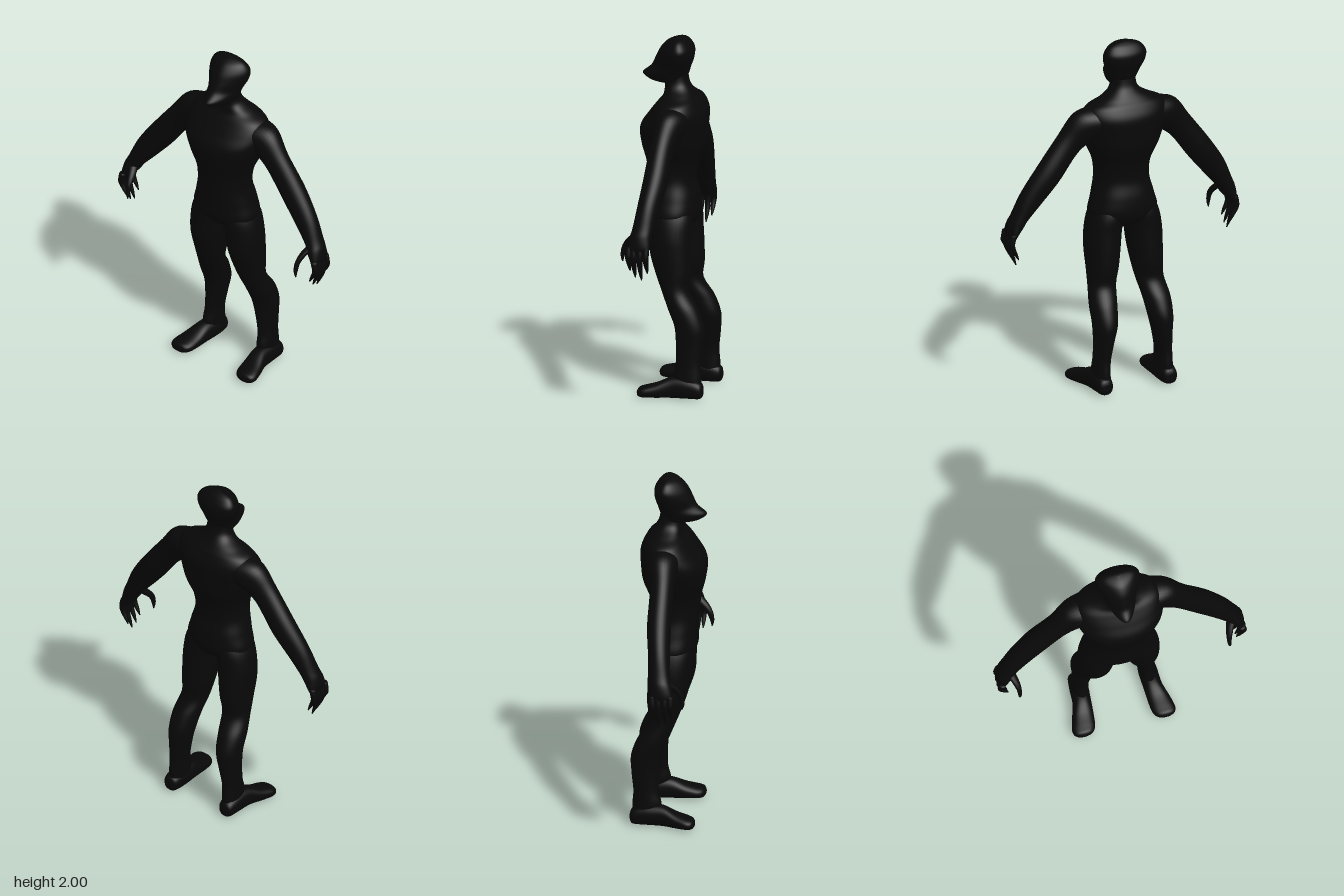
import * as THREE from 'three';

// Smooth loft through rows of [x, y, z, half width, half depth, tilt], listed from low to high.
// taper narrows the front (+z) of each section; square > 0 makes sections boxier.
function loft(rows, { sides = 32, steps = 6, taper = 0, square = 0 } = {}) {
  const n = rows.length - 1, total = n * steps;
  const cubic = (a, b, c, d, t) =>
    0.5 * (2 * b + (c - a) * t + (2 * a - 5 * b + 4 * c - d) * t * t + (3 * b - a - 3 * c + d) * t * t * t);
  const row = (i) => rows[Math.min(n, Math.max(0, i))];
  const pos = [], index = [];
  const soften = (v) => Math.sign(v) * Math.pow(Math.abs(v), 1 - square);
  for (let s = 0; s <= total; s++) {
    const i = Math.min(n - 1, Math.floor(s / steps)), t = s / steps - i;
    const [x, y, z, rx, rz, a] = [0, 1, 2, 3, 4, 5].map((k) =>
      cubic(row(i - 1)[k] ?? 0, row(i)[k] ?? 0, row(i + 1)[k] ?? 0, row(i + 2)[k] ?? 0, t));
    for (let j = 0; j < sides; j++) {
      const q = (j / sides) * Math.PI * 2;
      const u = Math.max(rx, 0.001) * soften(Math.cos(q)) * (1 - taper * Math.sin(q));
      pos.push(x + u * Math.cos(a), y + u * Math.sin(a), z + Math.max(rz, 0.001) * soften(Math.sin(q)));
      if (s < total) {
        const k = (j + 1) % sides, b = s * sides, c = b + sides;
        index.push(b + j, c + j, b + k, b + k, c + j, c + k);
      }
    }
  }
  // End caps
  for (const [r, base] of [[rows[0], 0], [rows[n], total * sides]]) {
    const centre = pos.length / 3;
    pos.push(r[0], r[1], r[2]);
    for (let j = 0; j < sides; j++) {
      const k = (j + 1) % sides;
      if (base) index.push(centre, base + k, base + j);
      else index.push(centre, base + j, base + k);
    }
  }
  const g = new THREE.BufferGeometry();
  g.setAttribute('position', new THREE.Float32BufferAttribute(pos, 3));
  g.setIndex(index);
  g.computeVertexNormals();
  return g;
}

// Mirror across x, keeping faces outward
function mirrored(g) {
  const m = g.clone().scale(-1, 1, 1);
  const ix = m.index.array;
  for (let i = 0; i < ix.length; i += 3) [ix[i], ix[i + 1]] = [ix[i + 1], ix[i]];
  m.computeVertexNormals();
  return m;
}

export function createModel() {
  const model = new THREE.Group();
  model.name = 'figure';
  const black = new THREE.MeshStandardMaterial({ color: 0x080808 });
  black.name = 'black';

  const add = (name, geometry) => {
    const mesh = new THREE.Mesh(geometry, black);
    mesh.name = name;
    model.add(mesh);
  };
  const addPair = (name, geometry) => {
    add(name + 'Left', geometry);
    add(name + 'Right', mirrored(geometry));
  };

  // Torso and neck
  add('torso', loft([
    [0, 0.91, 0.01, 0.03, 0.03],
    [0, 0.94, 0.01, 0.13, 0.09],
    [0, 1.0, 0.014, 0.198, 0.134],
    [0, 1.1, 0.018, 0.178, 0.137],
    [0, 1.2, 0.03, 0.155, 0.13],
    [0, 1.3, 0.028, 0.162, 0.142],
    [0, 1.4, 0.022, 0.205, 0.172],
    [0, 1.5, 0.02, 0.24, 0.18],
    [0, 1.58, -0.005, 0.25, 0.155],
    [0, 1.64, -0.015, 0.225, 0.118],
    [0, 1.675, -0.015, 0.155, 0.09],
    [0, 1.71, -0.005, 0.095, 0.075],
    [0, 1.75, 0.005, 0.072, 0.066],
    [0, 1.82, 0.01, 0.07, 0.06],
  ], { sides: 48, square: 0.1 }));

  // Head with a pointed, forward jutting jaw
  add('head', loft([
    [0, 1.738, 0.075, 0.035, 0.05],
    [0, 1.752, 0.065, 0.068, 0.1],
    [0, 1.785, 0.072, 0.079, 0.128],
    [0, 1.83, 0.04, 0.092, 0.11],
    [0, 1.88, 0.02, 0.113, 0.105],
    [0, 1.93, 0.007, 0.118, 0.093],
    [0, 1.97, 0.002, 0.095, 0.064],
    [0, 1.99, -0.003, 0.06, 0.035],
    [0, 2.0, -0.008, 0.01, 0.008],
  ], { sides: 48, taper: 0.35 }));

  // Legs
  addPair('leg', loft([
    [0.19, 0.05, -0.125, 0.043, 0.06],
    [0.19, 0.12, -0.105, 0.045, 0.08],
    [0.187, 0.2, -0.11, 0.045, 0.07],
    [0.178, 0.3, -0.115, 0.054, 0.076],
    [0.169, 0.4, -0.112, 0.069, 0.083],
    [0.162, 0.5, -0.075, 0.077, 0.085],
    [0.145, 0.6, -0.025, 0.08, 0.076],
    [0.135, 0.7, -0.01, 0.09, 0.1],
    [0.129, 0.8, 0.005, 0.099, 0.115],
    [0.122, 0.9, 0.01, 0.103, 0.117],
    [0.105, 1.0, 0.012, 0.098, 0.118],
    [0.085, 1.1, 0.015, 0.07, 0.09],
  ]));

  // Feet, lofted heel to toe and turned so the loft runs along z
  addPair('foot', loft([
    [0.197, -0.197, -0.05, 0.015, 0.02],
    [0.196, -0.18, -0.052, 0.042, 0.045],
    [0.195, -0.11, -0.062, 0.052, 0.058],
    [0.2, -0.02, -0.062, 0.052, 0.058],
    [0.215, 0.06, -0.046, 0.062, 0.042],
    [0.226, 0.12, -0.038, 0.065, 0.033],
    [0.23, 0.152, -0.035, 0.05, 0.026],
    [0.23, 0.165, -0.034, 0.02, 0.01],
  ], { square: 0.15 }).rotateX(Math.PI / 2));

  // Arms, from the palm up to the shoulder
  addPair('arm', loft([
    [0.676, 0.925, 0.037, 0.016, 0.05, 0.05],
    [0.67, 0.96, 0.037, 0.03, 0.064, 0.15],
    [0.648, 1.01, 0.033, 0.045, 0.062, 0.32],
    [0.625, 1.055, 0.025, 0.048, 0.058, 0.45],
    [0.558, 1.16, 0.013, 0.067, 0.06, 0.55],
    [0.46, 1.29, 0.0, 0.076, 0.066, 0.67],
    [0.337, 1.45, -0.003, 0.077, 0.066, 0.72],
    [0.235, 1.54, -0.015, 0.102, 0.088, 0.9],
    [0.12, 1.56, -0.015, 0.095, 0.11, 1.1],
  ]));

  // Four curled, tapering fingers
  [[-0.008, 0.04], [0.025, 0], [0.06, 0.015], [0.09, 0.05]].forEach(([z, lift], i) => {
    addPair('finger' + (i + 1), loft([
      [0.645, 0.778 + lift, z, 0.003, 0.003],
      [0.662, 0.82 + lift * 0.8, z, 0.011, 0.011],
      [0.681, 0.87 + lift * 0.5, z, 0.016, 0.015],
      [0.686, 0.92, z, 0.018, 0.018],
      [0.675, 0.97, z, 0.02, 0.019],
    ], { sides: 14, steps: 4 }));
  });

  // Thumbs
  addPair('thumb', loft([
    [0.594, 0.865, 0.147, 0.003, 0.003],
    [0.593, 0.9, 0.147, 0.01, 0.012],
    [0.594, 0.95, 0.132, 0.014, 0.019],
    [0.606, 0.995, 0.095, 0.02, 0.028],
    [0.63, 1.04, 0.045, 0.025, 0.03],
  ], { sides: 16, steps: 4 }));

  return model;
}
